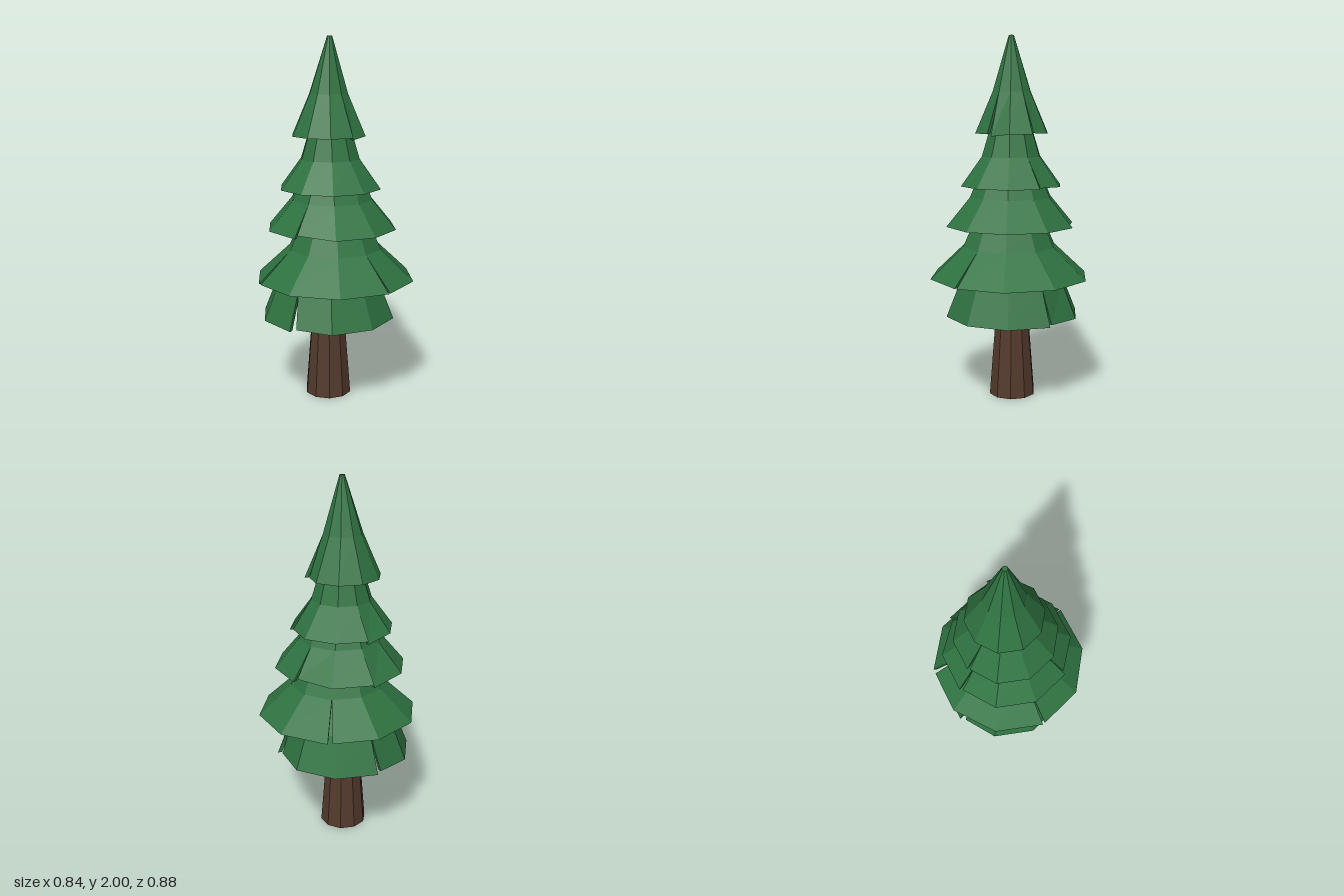
import * as THREE from 'three';

const SIDES = 10;
const THICKNESS = 0.022;

// Each tier: centre x, profile [y, radius] from rim to top,
// slits [corner, sideways gap, inward step, lift] cut from the rim up to the bend.
const TIERS = [
  { name: 'bottomTier', x: -0.045, profile: [[0.465, 0.375], [0.67, 0.292], [0.86, 0.15]],
    slits: [[0, 0.03, 0.01, 0.01], [4, 0.025, 0.015, 0.005], [7, 0.03, 0.01, 0.005]] },
  { name: 'lowerTier', x: 0, profile: [[0.69, 0.442], [0.86, 0.26], [0.98, 0.205], [1.08, 0.15]],
    slits: [[2, 0.012, 0, 0], [6, 0.026, 0, 0], [9, 0.016, 0, 0]] },
  { name: 'middleTier', x: -0.02, profile: [[0.972, 0.36], [1.13, 0.228], [1.22, 0.19], [1.3, 0.13]],
    slits: [[0, 0.008, 0.012, 0.015], [5, 0.008, 0.02, 0.01], [7, 0.01, 0.012, -0.02]] },
  { name: 'upperTier', x: -0.03, profile: [[1.19, 0.282], [1.35, 0.165], [1.48, 0.125], [1.6, 0.08]],
    slits: [[4, 0.014, 0.012, 0.005], [7, 0.006, 0.01, -0.02]] },
  { name: 'topTier', x: -0.04, topX: -0.033, profile: [[1.475, 0.205], [1.7, 0.107], [2, 0.014]],
    slits: [[2, 0.012, 0.012, -0.012], [4, 0.022, 0.015, 0.005]] },
];

// Hollow shell of flat panels, open underneath
function tierGeometry({ x, topX = x, profile, slits }) {
  const pos = [];
  const quad = (a, b, c, d) => [a, b, c, a, c, d].forEach(v => pos.push(v.x, v.y, v.z));
  const last = profile.length - 1;
  const slitAt = k => slits.find(s => s[0] === k % SIDES);

  const point = (k, j, inset, slit) => {
    const a = (k / SIDES) * Math.PI * 2;
    let [y, r] = profile[j];
    let gap = 0;
    if (slit && j === 0) {
      gap = slit[1];
      r -= slit[2];
      y += slit[3];
    }
    r = Math.max(r - inset, 0.004);
    const cx = j === last ? topX : x;
    // the gap slides the corner along its panel
    const edge = a + Math.PI / SIDES;
    return new THREE.Vector3(
      cx + r * Math.sin(a) + gap * Math.cos(edge), y,
      r * Math.cos(a) - gap * Math.sin(edge));
  };

  for (let k = 0; k < SIDES; k++) {
    const slit = slitAt(k);
    const column = (corner, inset, s) => profile.map((_, j) => point(corner, j, inset, s));
    const outA = column(k, 0, slit), outB = column(k + 1, 0);
    const inA = column(k, THICKNESS, slit), inB = column(k + 1, THICKNESS);
    for (let j = 0; j < last; j++) {
      quad(outA[j], outB[j], outB[j + 1], outA[j + 1]);
      quad(inB[j], inA[j], inA[j + 1], inB[j + 1]);
    }
    // rim underside and top cap
    quad(inA[0], inB[0], outB[0], outA[0]);
    const tip = new THREE.Vector3(topX, profile[last][0], 0);
    [outA[last], outB[last], tip].forEach(v => pos.push(v.x, v.y, v.z));
    // cut faces beside the slits
    if (slit) quad(inA[0], outA[0], outA[1], inA[1]);
    if (slitAt(k + 1)) quad(outB[0], inB[0], inB[1], outB[1]);
  }
  const geo = new THREE.BufferGeometry();
  geo.setAttribute('position', new THREE.Float32BufferAttribute(pos, 3));
  geo.computeVertexNormals();
  return geo;
}

export function createModel() {
  const group = new THREE.Group();
  group.name = 'pineTree';
  const needles = new THREE.MeshStandardMaterial({ name: 'needleGreen', color: 0x2f7341, flatShading: true, side: THREE.DoubleSide });
  const bark = new THREE.MeshStandardMaterial({ name: 'barkBrown', color: 0x543a2d, flatShading: true });

  // Tapered trunk reaching up into the branches
  const trunk = new THREE.Mesh(new THREE.CylinderGeometry(0.075, 0.13, 0.7, SIDES), bark);
  trunk.name = 'trunk';
  trunk.position.set(-0.045, 0.35, 0);
  group.add(trunk);

  // Branch tiers
  for (const tier of TIERS) {
    const mesh = new THREE.Mesh(tierGeometry(tier), needles);
    mesh.name = tier.name;
    group.add(mesh);
  }
  return group;
}
